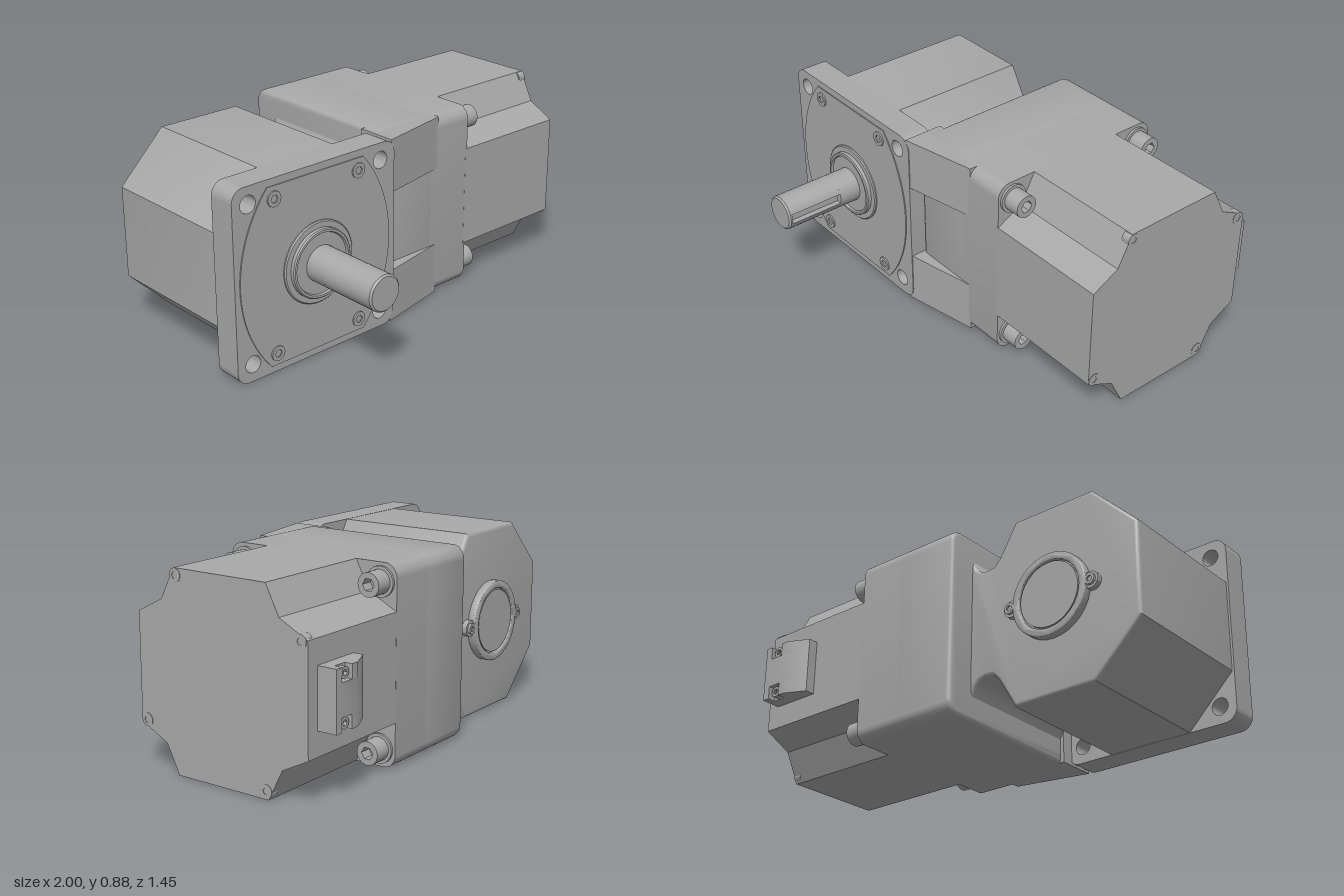
import * as THREE from 'three';
import { toCreasedNormals } from 'three/addons/utils/BufferGeometryUtils.js';

const metal = new THREE.MeshStandardMaterial({ color: 0xa8a8a8 });
metal.name = 'grey metal';

const CX = -0.565, CY = 0.4375; // shaft axis
const MZ = -0.197;              // motor axis

function polygon(points) {
  return new THREE.Shape(points.map(([a, b]) => new THREE.Vector2(a, b)));
}

function roundedRect(x0, y0, x1, y1, r) {
  const s = new THREE.Shape();
  s.absarc(x1 - r, y0 + r, r, -Math.PI / 2, 0);
  s.absarc(x1 - r, y1 - r, r, 0, Math.PI / 2);
  s.absarc(x0 + r, y1 - r, r, Math.PI / 2, Math.PI);
  s.absarc(x0 + r, y0 + r, r, Math.PI, Math.PI * 1.5);
  s.closePath();
  return s;
}

function circle(x, y, r, Kind = THREE.Shape) {
  const c = new Kind();
  c.absarc(x, y, r, 0, Math.PI * 2);
  return c;
}

// Extrude from one height to another along z, with an optional rounded edge inside that range
function extrude(shape, from, to, bevel = 0) {
  const g = new THREE.ExtrudeGeometry(shape, {
    depth: to - from - 2 * bevel, curveSegments: 16, bevelEnabled: bevel > 0,
    bevelSize: bevel, bevelThickness: bevel, bevelOffset: -bevel, bevelSegments: 4,
  });
  g.translate(0, 0, from + bevel);
  return toCreasedNormals(g, 0.6);
}
const extrudeX = (shape, from, to, bevel) => extrude(shape, from, to, bevel).rotateY(Math.PI / 2); // shape in (-z, y)
const extrudeY = (shape, from, to) => extrude(shape, from, to).rotateX(-Math.PI / 2);              // shape in (x, -z)

function add(parent, name, geometry) {
  const mesh = new THREE.Mesh(geometry, metal);
  mesh.name = name;
  parent.add(mesh);
  return mesh;
}

// Socket screw standing on z = 0 and pointing along +z
function socketScrew(name, r, length, collar = 0) {
  const g = new THREE.Group();
  g.name = name;
  const head = circle(0, 0, r);
  const hex = new THREE.Path();
  for (let i = 0; i <= 6; i++) {
    const a = (i * Math.PI) / 3, h = r * 0.55;
    if (i) hex.lineTo(h * Math.cos(a), h * Math.sin(a));
    else hex.moveTo(h, 0);
  }
  head.holes.push(hex);
  add(g, 'screwHead', extrude(head, 0, length));
  add(g, 'socketFloor', new THREE.CircleGeometry(r * 0.8, 20).translate(0, 0, length * 0.4));
  if (collar) add(g, 'washer', extrude(circle(0, 0, collar), 0, 0.012));
  return g;
}

export function createModel() {
  const model = new THREE.Group();
  model.name = 'rightAngleGearMotor';

  // Mounting flange with four through holes
  const flange = roundedRect(-1, 0, -0.122, 0.875, 0.06);
  for (const x of [-0.92, -0.205])
    for (const y of [0.08, 0.797]) flange.holes.push(circle(x, y, 0.039, THREE.Path));
  add(model, 'mountingFlange', extrude(flange, 0.18, 0.31));

  // Barrel-shaped front cover
  const cover = new THREE.Shape();
  const R = 0.62, ang = Math.asin(0.405 / R);
  cover.absarc(CX + 0.41 - R, CY, R, -ang, ang);
  cover.absarc(CX - 0.41 + R, CY, R, Math.PI - ang, Math.PI + ang);
  cover.closePath();
  add(model, 'frontCover', extrude(cover, 0.3, 0.315));
  for (const sx of [-1, 1])
    for (const sy of [-1, 1]) {
      const screw = socketScrew('coverScrew', 0.034, 0.01);
      screw.position.set(CX + sx * 0.228, CY + sy * 0.35, 0.312);
      model.add(screw);
    }

  // Stepped bearing boss around the shaft
  const boss = [[0.187, 0.3], [0.187, 0.321], [0.182, 0.326], [0.157, 0.326], [0.157, 0.343],
    [0.152, 0.348], [0.142, 0.348], [0.138, 0.338], [0.08, 0.338]];
  const bossMesh = add(model, 'bearingBoss', toCreasedNormals(new THREE.LatheGeometry(
    boss.map(([r, y]) => new THREE.Vector2(r, y)), 64).rotateX(Math.PI / 2), 0.5));
  bossMesh.position.set(CX, CY, 0);

  // Output shaft with a keyway on its +x side
  const shaft = new THREE.Group();
  shaft.name = 'outputShaft';
  shaft.position.set(CX, CY, 0);
  const r = 0.082, half = 0.025, a = Math.asin(half / r);
  const keyed = new THREE.Shape();
  keyed.absarc(0, 0, r, a, Math.PI * 2 - a);
  keyed.lineTo(0.05, -half);
  keyed.lineTo(0.05, half);
  keyed.closePath();
  add(shaft, 'shaftRoot', extrude(circle(0, 0, r), 0.3, 0.445));
  add(shaft, 'keywaySection', extrude(keyed, 0.445, 0.71));
  add(shaft, 'shaftTip', toCreasedNormals(new THREE.LatheGeometry(
    [[r, 0.71], [r, 0.718], [r - 0.008, 0.726], [0, 0.726]].map(([x, y]) => new THREE.Vector2(x, y)),
    48).rotateX(Math.PI / 2), 0.5));
  model.add(shaft);

  // Gear housing: chamfered outer corners, scooped pockets beside the motor adapter
  const upper = [[-0.09, 0.76], [-0.122, 0.76], [-0.14, 0.72], [-0.165, 0.698], [-0.2, 0.69],
    [-0.24, 0.695], [-0.27, 0.725], [-0.36, 0.874], [-0.765, 0.874], [-0.99, 0.65]];
  const lower = upper.map(([x, y]) => [x, 0.875 - y]).reverse();
  add(model, 'gearHousing', extrude(polygon([...upper, ...lower]), -0.5, 0.2, 0.016));

  // Round rear cap with two screw ears
  const cap = new THREE.Group();
  cap.name = 'rearCap';
  cap.position.set(CX, CY, -0.495);
  cap.rotation.y = Math.PI;
  const ring = circle(0, 0, 0.19);
  ring.holes.push(circle(0, 0, 0.155, THREE.Path));
  add(cap, 'capRing', extrude(ring, 0, 0.043, 0.006));
  add(cap, 'capDisc', extrude(circle(0, 0, 0.148), 0, 0.038));
  add(cap, 'capFloor', extrude(circle(0, 0, 0.16), 0, 0.025));
  for (const s of [-1, 1]) {
    add(cap, 'capEar', extrude(circle(s * 0.205, 0, 0.038), 0, 0.03));
    const screw = socketScrew('capScrew', 0.025, 0.012);
    screw.position.set(s * 0.207, 0, 0.03);
    cap.add(screw);
  }
  model.add(cap);

  // Motor adapter: rounded block, softened at the gearbox end
  const adapter = roundedRect(-0.24, 0, 0.635, 0.875, 0.06);
  add(model, 'motorAdapter', extrudeX(adapter, -0.122, 0.2, 0.022));
  add(model, 'motorAdapterEnd', extrudeX(adapter, 0.1, 0.41));

  // Tapered ribs that carry the flange into the adapter
  const rib = polygon([[-0.14, -0.31], [-0.14, -0.12], [0.22, -0.12], [0.22, -0.238]].reverse());
  for (const [y0, y1] of [[0.003, 0.25], [0.627, 0.872]])
    add(model, 'taperedRib', extrudeY(rib, y0, y1));

  // Motor body with notched corners
  const section = [];
  for (let q = 0; q < 4; q++)
    for (let [u, v] of [[0.4375, 0.24], [0.3, 0.31], [0.235, 0.4375]]) {
      for (let i = 0; i < q; i++) [u, v] = [-v, u];
      section.push([u - MZ, v + CY]);
    }
  add(model, 'motorBody', extrudeX(polygon(section), 0.4, 0.998));

  // Large screws clamping the motor to the adapter
  for (const z of [-0.36, 0.36])
    for (const y of [-0.357, 0.357]) {
      const screw = socketScrew('clampScrew', 0.052, 0.092, 0.066);
      screw.rotation.y = Math.PI / 2;
      screw.position.set(0.409, CY + y, MZ + z);
      model.add(screw);
    }

  // Small screws in the end face, one per corner
  for (const [z, y] of [[0.035, 0.845], [-0.6, 0.67], [0.21, 0.21], [-0.425, 0.035]]) {
    const screw = socketScrew('endScrew', 0.029, 0.04);
    screw.rotation.y = Math.PI / 2;
    screw.position.set(0.96, y, z);
    model.add(screw);
  }

  // Cable connector on the motor's rear, notched at both ends for its screws
  const connector = new THREE.Group();
  connector.name = 'cableConnector';
  const middle = [[0.705, 0.62], [0.94, 0.62], [0.94, 0.726], [0.805, 0.726], [0.705, 0.68]];
  const notched = [[0.705, 0.62], [0.94, 0.62], [0.94, 0.726], [0.905, 0.726], [0.905, 0.69],
    [0.84, 0.69], [0.84, 0.726], [0.805, 0.726], [0.705, 0.68]];
  add(connector, 'connectorBody', extrudeY(polygon(middle), 0.37, 0.51));
  for (const [y0, y1] of [[0.31, 0.37], [0.51, 0.57]]) {
    add(connector, 'connectorEnd', extrudeY(polygon(notched), y0, y1));
    const screw = socketScrew('connectorScrew', 0.025, 0.025);
    screw.rotation.y = Math.PI;
    screw.position.set(0.872, (y0 + y1) / 2, -0.69);
    connector.add(screw);
  }
  model.add(connector);

  return model;
}
